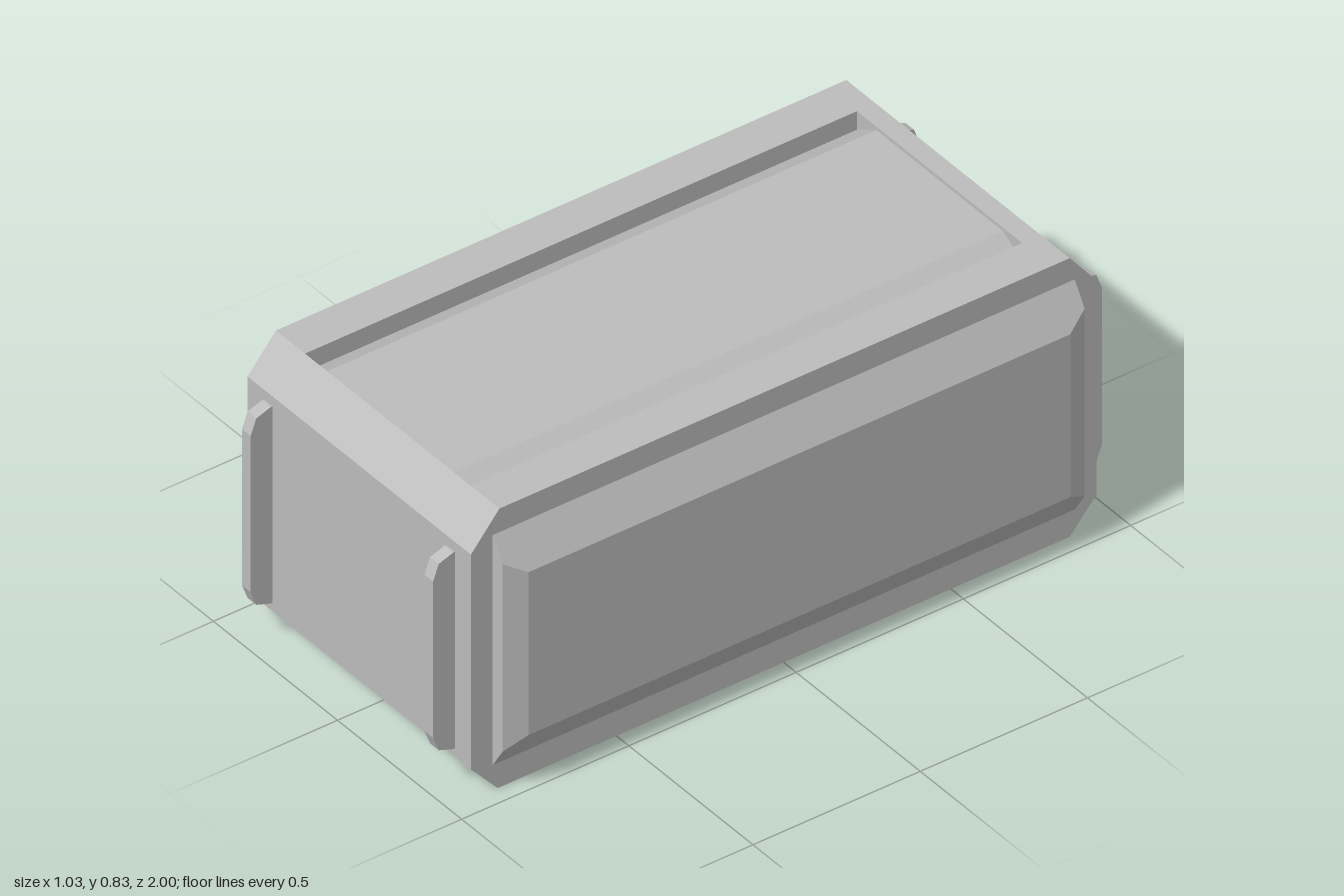
import * as THREE from 'three';
import { ConvexGeometry } from 'three/addons/geometries/ConvexGeometry.js';

const grey = new THREE.MeshStandardMaterial({ color: 0xbcbcbc });
grey.name = 'plain grey';

function extrude(points, depth) {
  const shape = new THREE.Shape(points.map(([a, b]) => new THREE.Vector2(a, b)));
  return new THREE.ExtrudeGeometry(shape, { depth, bevelEnabled: false });
}

// Extrudes a [z, y] side profile between two x positions
function sideProfile(points, x0, x1) {
  return extrude(points, x1 - x0).rotateY(-Math.PI / 2).translate(x1, 0, 0);
}

export function createModel() {
  const model = new THREE.Group();
  model.name = 'crate';
  const add = (name, geometry) => {
    const mesh = new THREE.Mesh(geometry, grey);
    mesh.name = name;
    model.add(mesh);
    return mesh;
  };

  // Body with chamfered ends; the middle slice carries the recess for the lid
  const lower = [[-0.935, 0.73], [-0.935, 0.09], [-0.855, 0], [0.855, 0], [0.935, 0.09], [0.935, 0.73]];
  const full = [...lower, [0.85, 0.83], [-0.855, 0.83]];
  const recessed = [...lower, [0.85, 0.83], [0.85, 0.775], [-0.8, 0.775], [-0.8, 0.83], [-0.855, 0.83]];
  add('bodyRight', sideProfile(full, -0.45, -0.333));
  add('bodyMiddle', sideProfile(recessed, -0.333, 0.333));
  add('bodyLeft', sideProfile(full, 0.333, 0.45));

  // Lid with sloping long edges that fall into the grooves
  const lid = [[-0.333, 0.775], [0.333, 0.775], [0.255, 0.82], [-0.255, 0.82]];
  add('lid', extrude(lid, 1.65).translate(0, 0, -0.8));

  // Raised side panels, bevelled on all four edges
  for (const side of [-1, 1]) {
    const points = [];
    for (const end of [-1, 1]) {
      for (const [x, z] of [[0.45, 0.87], [0.49, 0.87], [0.513, 0.81]]) {
        const inset = (0.1 * (x - 0.45)) / 0.063;
        points.push(new THREE.Vector3(side * x, 0.075 + inset, end * z));
        points.push(new THREE.Vector3(side * x, 0.76 - inset, end * z));
      }
    }
    add(side > 0 ? 'leftPanel' : 'rightPanel', new ConvexGeometry(points));
  }

  // Pairs of upright handles on the front and back
  const grip = [[0.93, 0.115], [0.94, 0.115], [0.983, 0.13], [1, 0.175], [1, 0.64], [0.983, 0.685], [0.94, 0.7], [0.93, 0.7]];
  const handle = sideProfile(grip, -0.0175, 0.0175);
  for (const x of [-0.3675, 0.3675]) {
    for (const end of ['front', 'back']) {
      const mesh = add(end + (x > 0 ? 'LeftHandle' : 'RightHandle'), handle);
      mesh.position.x = x;
      if (end === 'back') mesh.rotation.y = Math.PI;
    }
  }
  return model;
}
